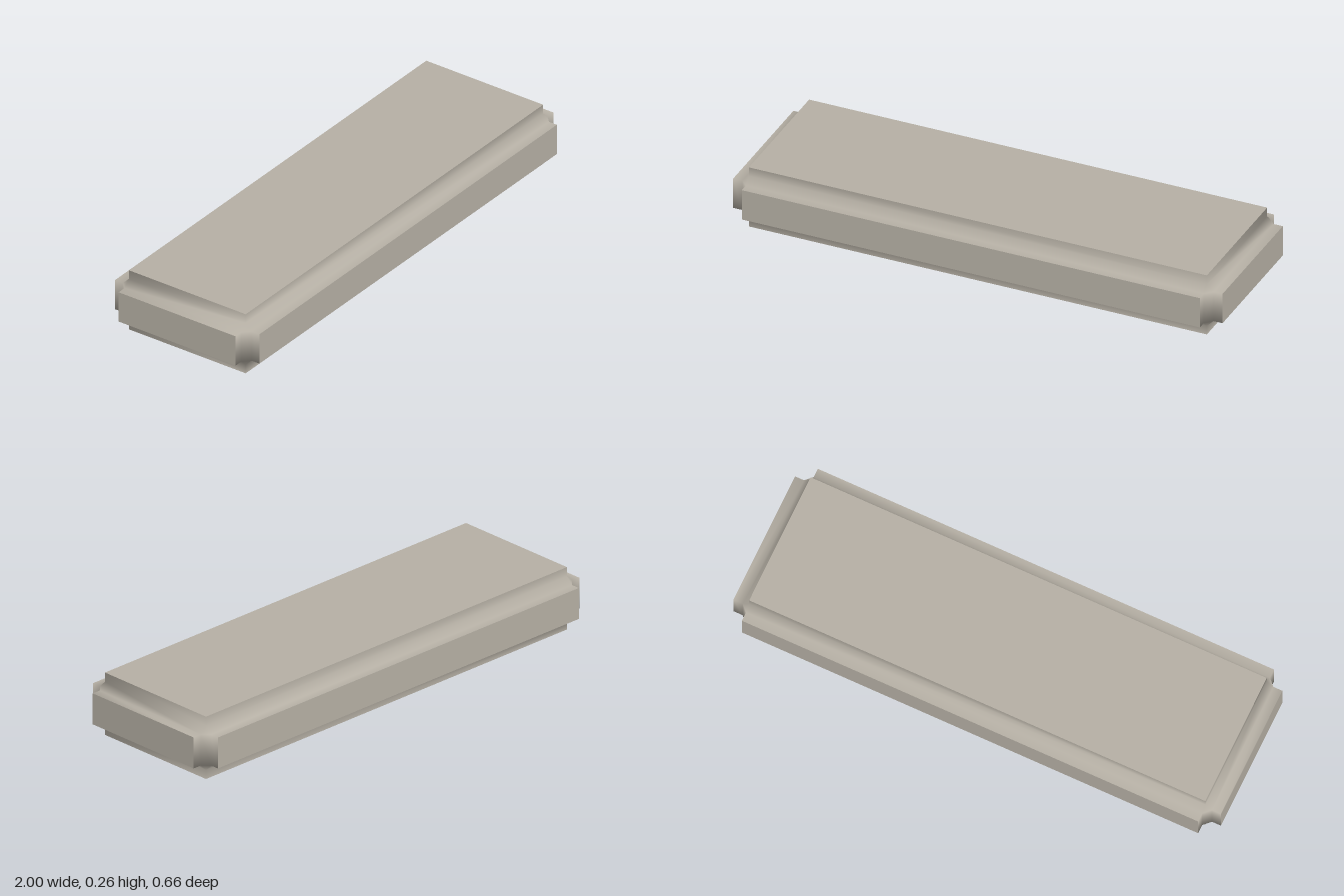
import * as THREE from 'three';

// Half sizes of the outer faces, of the inset faces, and the depth of the cove
const OUTER = [1, 0.128, 0.332];
const INNER = [0.936, 0.0635, 0.269];
const KNEE = 0.027;
const SIGNS = [-1, 1];

// Collects triangles over shared named points, turned to face a given direction
class Surface {
  constructor() {
    this.points = [];
    this.index = [];
    this.ids = new Map();
  }
  point(p) {
    const key = p.map((v) => v.toFixed(4)).join();
    if (!this.ids.has(key)) {
      this.ids.set(key, this.points.length);
      this.points.push(new THREE.Vector3(...p));
    }
    return this.ids.get(key);
  }
  triangle(a, b, c, out) {
    const [i, j, k] = [a, b, c].map((p) => this.point(p));
    const n = new THREE.Vector3().subVectors(this.points[j], this.points[i])
      .cross(new THREE.Vector3().subVectors(this.points[k], this.points[i]));
    this.index.push(...(n.dot(new THREE.Vector3(...out)) > 0 ? [i, j, k] : [i, k, j]));
  }
  quad(a, b, c, d, out) {
    this.triangle(a, b, c, out);
    this.triangle(a, c, d, out);
  }
  build() {
    const geometry = new THREE.BufferGeometry().setFromPoints(this.points);
    geometry.setIndex(this.index);
    geometry.computeVertexNormals();
    return geometry;
  }
}

// Corner point of the inset core, pushed out along one axis to the given distance
function cornerPoint(signs, axis, distance) {
  return signs.map((s, i) => s * (i === axis ? distance : INNER[i]));
}
const rim = (signs, axis) => cornerPoint(signs, axis, OUTER[axis]);
const knee = (signs, axis) => cornerPoint(signs, axis, INNER[axis] + KNEE);

// Signs for the three axes, given as [axis, sign] pairs
function signsOf(...pairs) {
  const signs = [0, 0, 0];
  for (const [axis, s] of pairs) signs[axis] = s;
  return signs;
}

export function createModel() {
  const group = new THREE.Group();
  group.name = 'slab';
  group.position.y = OUTER[1];
  const stone = new THREE.MeshStandardMaterial({ color: 0xb5afa4 });
  stone.name = 'pale stone';

  const add = (name, surface) => {
    const mesh = new THREE.Mesh(surface.build(), stone);
    mesh.name = name;
    group.add(mesh);
  };

  // Six flat faces
  const names = [['rightFace', 'leftFace'], ['bottomFace', 'topFace'], ['backFace', 'frontFace']];
  for (let a = 0; a < 3; a++) {
    const b = (a + 1) % 3, c = (a + 2) % 3;
    for (const s of SIGNS) {
      const face = new Surface();
      const at = (sb, sc) => rim(signsOf([a, s], [b, sb], [c, sc]), a);
      face.quad(at(-1, -1), at(1, -1), at(1, 1), at(-1, 1), signsOf([a, s]));
      add(names[a][s < 0 ? 0 : 1], face);
    }
  }

  // Stepped coves along the twelve edges, smooth across the whole border
  const cove = new Surface();
  for (let c = 0; c < 3; c++) {
    const a = (c + 1) % 3, b = (c + 2) % 3;
    for (const sa of SIGNS) for (const sb of SIGNS) {
      const out = signsOf([a, sa], [b, sb]);
      const profile = (sc) => {
        const s = signsOf([a, sa], [b, sb], [c, sc]);
        return [rim(s, a), knee(s, a), knee(s, b), rim(s, b)];
      };
      const low = profile(-1), high = profile(1);
      for (let i = 0; i < 3; i++) cove.quad(low[i], high[i], high[i + 1], low[i + 1], out);
    }
  }

  // Small triangles closing the eight corners
  for (const x of SIGNS) for (const y of SIGNS) for (const z of SIGNS) {
    const s = [x, y, z];
    cove.triangle(knee(s, 0), knee(s, 1), knee(s, 2), s);
  }
  add('covedEdges', cove);

  const model = new THREE.Group();
  model.add(group);
  return model;
}
